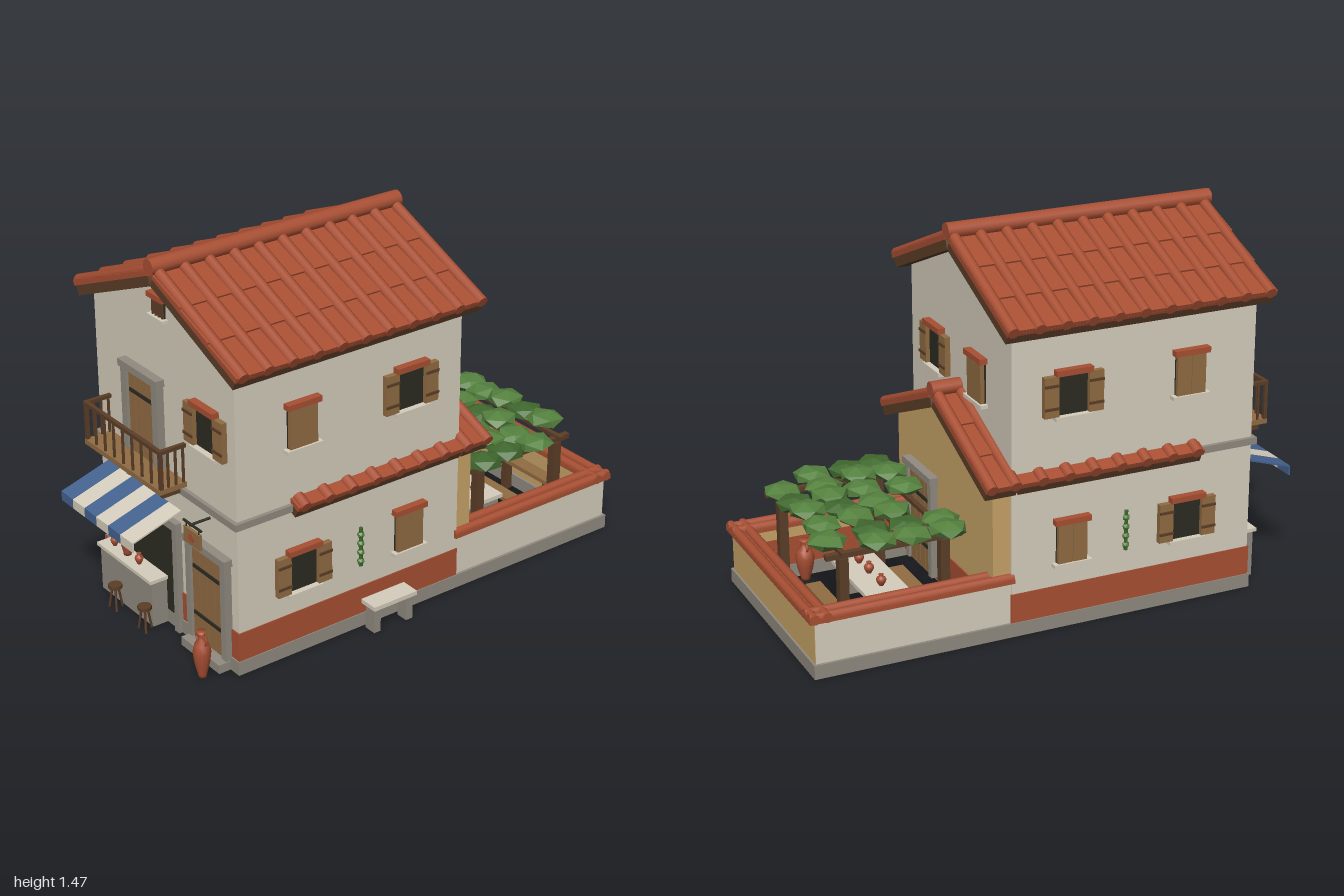
import * as THREE from 'three';

const mat = (name, color) => {
  const m = new THREE.MeshStandardMaterial({ color });
  m.name = name;
  return m;
};
const M = {
  plaster: mat('cream plaster', 0xd6cebd), ochre: mat('ochre plaster', 0xc9a468),
  stone: mat('grey stone', 0x918b80), clay: mat('terracotta', 0xa84f33),
  timber: mat('dark timber', 0x5c3e28), wood: mat('light wood', 0x916c42),
  dark: mat('dark interior', 0x2c2c23), leaf: mat('vine green', 0x55823f),
  leafDark: mat('deep vine green', 0x41692f), blue: mat('awning blue', 0x456391),
};
const CX = -0.015, HALF = 0.445, PITCH = Math.atan(0.42);

function mesh(p, name, geo, m, x = 0, y = 0, z = 0) {
  const o = new THREE.Mesh(geo, m);
  o.name = name;
  o.position.set(x, y, z);
  p.add(o);
  return o;
}
// box given by its extents
const box = (p, name, m, x0, x1, y0, y1, z0, z1) =>
  mesh(p, name, new THREE.BoxGeometry(x1 - x0, y1 - y0, z1 - z0), m, (x0 + x1) / 2, (y0 + y1) / 2, (z0 + z1) / 2);
function group(p, name, x = 0, y = 0, z = 0, ry = 0) {
  const g = new THREE.Group();
  g.name = name;
  g.position.set(x, y, z);
  g.rotation.y = ry;
  p.add(g);
  return g;
}
// round rod between two points
function rod(p, name, m, a, b, r, sides = 8) {
  const A = new THREE.Vector3(...a), B = new THREE.Vector3(...b), d = B.clone().sub(A);
  const o = mesh(p, name, new THREE.CylinderGeometry(r, r, d.length(), sides), m);
  o.position.copy(A.add(B).multiplyScalar(0.5));
  o.quaternion.setFromUnitVectors(new THREE.Vector3(0, 1, 0), d.normalize());
  return o;
}

// five-sided gabled block
function gable(p, name, m, half, y0, eave, apex, z0, z1) {
  const s = new THREE.Shape([[-half, y0], [half, y0], [half, eave], [0, apex], [-half, eave]].map(q => new THREE.Vector2(...q)));
  mesh(p, name, new THREE.ExtrudeGeometry(s, { depth: z1 - z0, bevelEnabled: false }), m, 0, 0, z0);
}

// two tiled slopes with boards below, pan courses and round cover tiles
function tiledRoof(p, name, apex, half, start, z0, z1, ribs, courses) {
  const g = group(p, name, CX, apex, 0), a = start / Math.cos(PITCH), b = half / Math.cos(PITCH);
  for (const s of [-1, 1]) {
    const slope = group(g, 'roofSlope');
    slope.rotation.z = -s * PITCH;
    const slab = (n, m, u0, u1, y0, y1, za, zb) => box(slope, n, m, Math.min(s * u0, s * u1), Math.max(s * u0, s * u1), y0, y1, za, zb);
    slab('roofBoard', M.timber, a, b - 0.008, 0, 0.038, z0 + 0.004, z1 - 0.004);
    slab('tileBed', M.clay, a, b, 0.038, 0.05, z0, z1);
    const step = (b - a) / courses;
    for (let i = 0; i < courses; i++) {
      const c = slab('panCourse', M.clay, a + i * step, a + (i + 1) * step, 0.047, 0.058, z0, z1);
      c.rotation.z = s * 0.04;
    }
    for (const z of ribs) {
      rod(slope, 'coverTile', M.clay, [s * a, 0.055, z], [s * (b + 0.004), 0.055, z], 0.022, 10);
    }
  }
  return g;
}

// shuttered window, outward is local +z
function shutterWindow(p, x, y, z, ry, open, h = 0.155) {
  const g = group(p, open ? 'openWindow' : 'closedWindow', x, y, z, ry);
  box(g, 'windowOpening', M.dark, -0.06, 0.06, 0, h, 0, 0.006);
  box(g, 'windowLintel', M.clay, -0.073, 0.073, h, h + 0.022, 0, 0.03);
  box(g, 'windowSill', M.plaster, -0.077, 0.077, -0.014, 0, 0, 0.03);
  for (const s of [-1, 1]) {
    const c = open ? s * 0.09 : s * 0.03;
    box(g, 'shutter', M.wood, c - 0.029, c + 0.029, 0, h, 0, 0.022);
    if (open) for (const f of [0.22, 0.78]) box(g, 'shutterRail', M.timber, c - 0.029, c + 0.029, h * f - 0.005, h * f + 0.005, 0.022, 0.027);
  }
}

// plank door with stone frame, outward is local +z
function door(p, x, y, z, ry, w, h, frame) {
  const g = group(p, 'door', x, y, z, ry), n = 4, pw = w / n;
  box(g, 'doorBacking', M.timber, -w / 2, w / 2, 0, h, 0, 0.012);
  for (let i = 0; i < n; i++) box(g, 'doorPlank', M.wood, -w / 2 + i * pw + 0.002, -w / 2 + (i + 1) * pw - 0.002, 0, h, 0.01, 0.02);
  for (const f of [0.28, 0.78]) box(g, 'doorStrap', M.dark, -w / 2 + 0.01, w / 2 - 0.01, h * f - 0.007, h * f + 0.007, 0.02, 0.025);
  for (const s of [-1, 1]) box(g, 'doorJamb', M.stone, s > 0 ? w / 2 : -w / 2 - frame, s > 0 ? w / 2 + frame : -w / 2, 0, h, 0, 0.03);
  box(g, 'doorLintel', M.stone, -w / 2 - frame - 0.008, w / 2 + frame + 0.008, h, h + 0.028, 0, 0.036);
}

// turned clay jar with optional handles
function jar(p, x, y, z, h, r, handles) {
  const g = group(p, 'clayJar', x, y, z);
  const pts = [[0, 0], [0.45, 0], [0.5, 0.06], [0.85, 0.32], [1, 0.56], [0.8, 0.72], [0.4, 0.82], [0.36, 0.92], [0.55, 1], [0, 0.98]];
  mesh(g, 'jarBody', new THREE.LatheGeometry(pts.map(q => new THREE.Vector2(q[0] * r, q[1] * h)), 12), M.clay);
  if (handles) for (const s of [-1, 1]) {
    mesh(g, 'jarHandle', new THREE.TorusGeometry(h * 0.09, r * 0.12, 5, 10), M.clay, s * r * 0.5, h * 0.83, 0);
  }
}

function stool(p, x, z) {
  const g = group(p, 'stool', x, 0, z);
  mesh(g, 'stoolSeat', new THREE.CylinderGeometry(0.027, 0.027, 0.014, 10), M.timber, 0, 0.098, 0);
  for (let i = 0; i < 3; i++) {
    const a = i * Math.PI * 2 / 3 + 0.5, c = Math.cos(a), s = Math.sin(a);
    rod(g, 'stoolLeg', M.timber, [c * 0.012, 0.094, s * 0.012], [c * 0.028, 0.002, s * 0.028], 0.005, 6);
  }
}

// slab on two end legs
function bench(p, name, top, leg, x0, x1, h, z0, z1, alongZ) {
  const g = group(p, name), t = 0.03;
  box(g, 'benchTop', top, x0, x1, h - 0.017, h, z0, z1);
  for (const s of [0, 1]) {
    if (alongZ) box(g, 'benchLeg', leg, x0 + 0.014, x1 - 0.014, 0, h - 0.017, s ? z1 - t - 0.01 : z0 + 0.01, s ? z1 - 0.01 : z0 + t + 0.01);
    else box(g, 'benchLeg', leg, s ? x1 - t - 0.01 : x0 + 0.01, s ? x1 - 0.01 : x0 + t + 0.01, 0, h - 0.017, z0 + 0.014, z1 - 0.014);
  }
}

export function createModel() {
  const root = new THREE.Group();
  root.name = 'townHouse';

  // house body, base and bands
  const house = group(root, 'house', CX);
  gable(house, 'houseWalls', M.plaster, HALF, 0.05, 1.185, 1.372, -0.21, 0.79);
  gable(house, 'rearAnnexWall', M.ochre, 0.435, 0.02, 0.588, 0.772, -0.28, -0.205);
  box(house, 'plinth', M.stone, -0.453, 0.453, 0, 0.055, -0.21, 0.8);
  box(house, 'paintedBand', M.clay, -0.449, 0.449, 0.055, 0.17, -0.212, 0.795);
  box(house, 'annexBand', M.clay, -0.386, 0.386, 0.03, 0.17, -0.285, -0.278);
  box(house, 'stringCourse', M.stone, -0.461, 0.461, 0.595, 0.622, 0.56, 0.806);

  // roofs
  const ribs = (n, z, step) => Array.from({ length: n }, (_, i) => z - i * step);
  tiledRoof(root, 'mainRoof', 1.37, 0.5, 0, -0.26, 0.83, ribs(11, 0.802, 0.104), 3);
  tiledRoof(root, 'annexRoof', 0.77, 0.475, 0, -0.33, -0.2, [-0.215, -0.308], 3);
  tiledRoof(root, 'sideEaves', 0.77, 0.475, 0.425, -0.2, 0.56, ribs(7, 0.53, 0.106), 1);
  rod(root, 'mainRidge', M.clay, [CX, 1.441, -0.262], [CX, 1.441, 0.832], 0.032, 12);
  rod(root, 'annexRidge', M.clay, [CX, 0.841, -0.332], [CX, 0.841, -0.2], 0.03, 12);

  // side windows and hanging herbs, mirrored
  for (const s of [-1, 1]) {
    const x = CX + s * HALF, ry = s * Math.PI / 2;
    shutterWindow(root, x, 0.845, 0.512, ry, false);
    shutterWindow(root, x, 0.845, 0.03, ry, true);
    shutterWindow(root, x, 0.265, 0.512, ry, true);
    shutterWindow(root, x, 0.265, 0.03, ry, false);
    const herbs = group(root, 'hangingHerbs', x + s * 0.012, 0, 0.255);
    rod(herbs, 'herbString', M.leafDark, [0, 0.265, 0], [0, 0.425, 0], 0.008, 6);
    for (let i = 0; i < 4; i++) mesh(herbs, 'herbBunch', new THREE.IcosahedronGeometry(0.015), M.leaf, 0, 0.285 + i * 0.037, 0);
  }
  // front and back openings
  shutterWindow(root, 0.263, 0.836, 0.79, 0, true);
  shutterWindow(root, 0.19, 0.845, -0.21, Math.PI, true);
  shutterWindow(root, -0.185, 0.845, -0.21, Math.PI, false);
  door(root, -0.132, 0.622, 0.79, 0, 0.166, 0.355, 0.036);
  door(root, 0.263, 0.04, 0.79, 0, 0.19, 0.39, 0.03);
  door(root, 0.17, 0.04, -0.28, Math.PI, 0.19, 0.39, 0.03);
  box(root, 'doorStep', M.stone, 0.14, 0.385, 0, 0.035, 0.79, 0.85);

  // attic vent
  const vent = group(root, 'atticVent', CX, 1.25, 0.79);
  box(vent, 'ventOpening', M.dark, -0.036, 0.036, 0, 0.065, 0, 0.006);
  box(vent, 'ventLintel', M.clay, -0.049, 0.049, 0.065, 0.085, 0, 0.025);
  box(vent, 'ventSill', M.plaster, -0.05, 0.05, -0.012, 0, 0, 0.025);
  for (let i = -1.5; i < 2; i++) box(vent, 'ventBar', M.timber, i * 0.02 - 0.004, i * 0.02 + 0.004, 0, 0.065, 0.006, 0.014);

  // balcony
  const bal = group(root, 'balcony'), bx0 = -0.38, bx1 = 0.115, bz = 0.895;
  box(bal, 'balconyFloor', M.wood, bx0 - 0.005, bx1 + 0.005, 0.63, 0.65, 0.79, bz + 0.01);
  for (const x of [-0.355, -0.132, 0.09]) box(bal, 'balconyBracket', M.timber, x - 0.01, x + 0.01, 0.602, 0.63, 0.79, 0.88);
  box(bal, 'frontRail', M.timber, bx0 - 0.008, bx1 + 0.008, 0.79, 0.804, bz - 0.008, bz + 0.008);
  for (let i = 0; i <= 8; i++) {
    const x = bx0 + i * (bx1 - bx0) / 8, r = i % 8 ? 0.004 : 0.007;
    box(bal, 'baluster', M.timber, x - r, x + r, 0.65, 0.79, bz - r, bz + r);
  }
  for (const x of [bx0, bx1]) {
    box(bal, 'sideRail', M.timber, x - 0.008, x + 0.008, 0.79, 0.804, 0.79, bz);
    for (const z of [0.8, 0.832, 0.864]) box(bal, 'baluster', M.timber, x - 0.004, x + 0.004, 0.65, 0.79, z - 0.004, z + 0.004);
  }

  // shop front with counter, jars and stools
  const shop = group(root, 'shopFront');
  box(shop, 'shopOpening', M.dark, -0.385, 0.045, 0.05, 0.425, 0.79, 0.799);
  for (const x of [-0.412, 0.045]) box(shop, 'shopJamb', M.stone, x, x + 0.028, 0, 0.425, 0.79, 0.815);
  box(shop, 'shopLintel', M.stone, -0.412, 0.073, 0.425, 0.46, 0.79, 0.815);
  box(shop, 'counter', M.stone, -0.38, -0.025, 0, 0.186, 0.79, 0.865);
  box(shop, 'counterTop', M.plaster, -0.388, -0.017, 0.186, 0.2, 0.79, 0.876);
  jar(shop, -0.24, 0.2, 0.832, 0.185, 0.033, true);
  for (const x of [-0.325, -0.155]) jar(shop, x, 0.2, 0.835, 0.045, 0.017, true);
  stool(root, -0.22, 0.905);
  stool(root, -0.025, 0.9);
  jar(root, 0.36, 0, 0.905, 0.19, 0.034, true);

  // striped awning
  const awning = group(root, 'awning');
  for (let i = 0; i < 6; i++) {
    const x = -0.415 + i * 0.0817, m = i % 2 ? M.plaster : M.blue;
    const cloth = box(awning, 'awningStripe', m, x, x + 0.0817, 0.475, 0.481, 0.784, 1.004);
    cloth.rotation.x = 0.3;
    box(awning, 'awningValance', m, x, x + 0.0817, 0.41, 0.448, 0.994, 1);
  }

  // hanging sign
  const sign = group(root, 'hangingSign', 0.263, 0, 0.865);
  rod(sign, 'signArm', M.dark, [0, 0.567, -0.075], [0, 0.567, 0.012], 0.005);
  rod(sign, 'signBar', M.dark, [-0.056, 0.562, 0], [0.056, 0.562, 0], 0.005);
  for (const x of [-0.04, 0.04]) rod(sign, 'signHook', M.dark, [x, 0.54, 0], [x, 0.562, 0], 0.003, 6);
  box(sign, 'signBoard', M.wood, -0.05, 0.05, 0.482, 0.543, -0.006, 0.006);
  mesh(sign, 'signDisc', new THREE.CylinderGeometry(0.017, 0.017, 0.016, 12), M.clay, 0, 0.513, 0).rotation.x = Math.PI / 2;

  bench(root, 'streetBench', M.plaster, M.stone, 0.44, 0.52, 0.12, 0.05, 0.25, true);

  // courtyard walls with tiled coping
  const yard = group(root, 'courtyard', CX);
  for (const s of [-1, 1]) {
    const span = (n, m, a, b, y0, y1, z0, z1) => box(yard, n, m, Math.min(s * a, s * b), Math.max(s * a, s * b), y0, y1, z0, z1);
    span('yardPlinth', M.stone, 0.38, 0.453, 0, 0.055, -0.985, -0.21);
    span('yardSideWall', M.plaster, 0.39, 0.442, 0.055, 0.22, -0.975, -0.21);
    span('yardInnerFace', M.ochre, 0.385, 0.39, 0.17, 0.22, -0.925, -0.28);
    span('yardInnerBand', M.clay, 0.384, 0.39, 0.055, 0.17, -0.925, -0.28);
    span('sideCoping', M.clay, 0.37, 0.457, 0.218, 0.234, -0.995, -0.2);
    for (const x of [0.39, 0.437]) rod(yard, 'copingRoll', M.clay, [s * x, 0.234, -0.995], [s * x, 0.234, -0.2], 0.019, 10);
  }
  box(yard, 'yardBackPlinth', M.stone, -0.38, 0.38, 0, 0.055, -0.985, -0.915);
  box(yard, 'yardBackWall', M.ochre, -0.441, 0.441, 0.055, 0.22, -0.977, -0.925);
  box(yard, 'backCoping', M.clay, -0.457, 0.457, 0.218, 0.233, -0.997, -0.91);
  for (const z of [-0.978, -0.93]) rod(yard, 'copingRoll', M.clay, [-0.457, 0.234, z], [0.457, 0.234, z], 0.019, 10);

  // pergola and vine
  const pergola = group(root, 'pergola');
  for (const x of [-0.325, 0.305]) {
    for (const z of [-0.42, -0.815]) box(pergola, 'pergolaPost', M.timber, x - 0.018, x + 0.018, 0, 0.385, z - 0.018, z + 0.018);
    box(pergola, 'pergolaSideBeam', M.timber, x - 0.012, x + 0.012, 0.385, 0.405, -0.88, -0.35);
  }
  for (const z of [-0.82, -0.69, -0.55, -0.41]) box(pergola, 'pergolaCrossBeam', M.timber, -0.36, 0.34, 0.4, 0.416, z - 0.01, z + 0.01);
  const rows = [[-0.83, [-0.25, -0.13, -0.01, 0.1, 0.21]], [-0.685, [-0.37, -0.25, -0.12, 0, 0.1, 0.22, 0.33]],
    [-0.545, [-0.36, -0.25, -0.13, 0, 0.12, 0.22, 0.32]], [-0.41, [-0.37, -0.25, 0.08, 0.2, 0.33]]];
  rows.forEach(([z, xs], r) => xs.forEach((x, i) => {
    const k = (i * 5 + r * 3) % 7;
    const leaf = mesh(pergola, 'vineClump', new THREE.IcosahedronGeometry(0.078).rotateX(0.55 + k * 0.2).rotateY(k), k % 3 === 1 ? M.leafDark : M.leaf, x, 0.425 + (k % 4) * 0.008, z + ((i * 3) % 4 - 1.5) * 0.008);
    leaf.scale.y = 0.4;
  }));

  // courtyard furniture
  bench(root, 'yardTable', M.plaster, M.stone, -0.19, 0.17, 0.14, -0.67, -0.5, false);
  bench(root, 'yardBenchFront', M.wood, M.timber, -0.16, 0.14, 0.075, -0.45, -0.39, false);
  bench(root, 'yardBenchBack', M.wood, M.timber, -0.16, 0.14, 0.075, -0.79, -0.73, false);
  bench(root, 'yardShelf', M.wood, M.timber, -0.08, 0.22, 0.15, -0.92, -0.86, false);
  for (const x of [-0.12, 0, 0.1]) jar(root, x, 0.14, -0.585, 0.045, 0.02, false);
  for (const [x, z] of [[-0.31, -0.875], [0.28, -0.87], [0.33, -0.72]]) jar(root, x, 0, z, 0.17, 0.038, true);
  return root;
}
